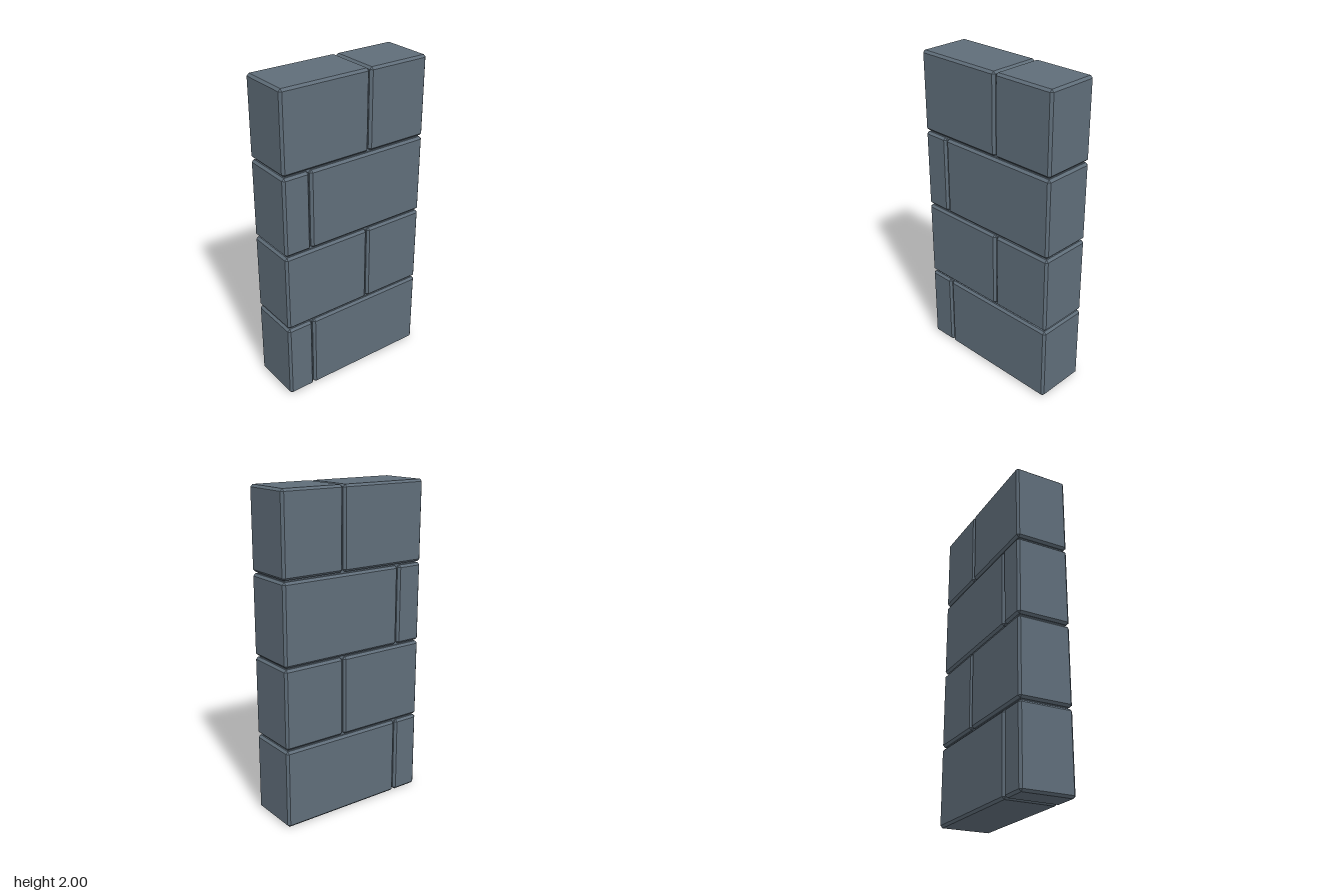
import * as THREE from 'three';
import { ConvexGeometry } from 'three/addons/geometries/ConvexGeometry.js';

const HALF_WIDTH = 0.497, HALF_DEPTH = 0.168, BEVEL = 0.014;
const BRICK_HEIGHT = 0.493, ROW_STEP = 0.5023;

// Box with all twelve edges chamfered: each corner becomes three points
function chamferedBox(w, h, d, c) {
  const points = [];
  for (const sx of [-1, 1]) for (const sy of [-1, 1]) for (const sz of [-1, 1]) {
    const x = w / 2, y = h / 2, z = d / 2;
    points.push(
      new THREE.Vector3(sx * x, sy * (y - c), sz * (z - c)),
      new THREE.Vector3(sx * (x - c), sy * y, sz * (z - c)),
      new THREE.Vector3(sx * (x - c), sy * (y - c), sz * z)
    );
  }
  return new ConvexGeometry(points);
}

export function createModel() {
  const group = new THREE.Group();
  group.name = 'brickWall';
  const stone = new THREE.MeshStandardMaterial({ color: 0x5f6d79 });
  stone.name = 'slate stone';

  // Four courses with alternating joints, two bricks in each
  const joints = [[-0.323, -0.317], [0.086, 0.092]];
  for (let row = 0; row < 4; row++) {
    const [jointStart, jointEnd] = joints[row % 2];
    for (const [x0, x1] of [[-HALF_WIDTH, jointStart], [jointEnd, HALF_WIDTH]]) {
      const brick = new THREE.Mesh(chamferedBox(x1 - x0, BRICK_HEIGHT, HALF_DEPTH * 2, BEVEL), stone);
      brick.name = 'brick';
      brick.position.set((x0 + x1) / 2, row * ROW_STEP + BRICK_HEIGHT / 2, 0);
      group.add(brick);
    }
  }

  // Recessed core closing the joints
  const core = new THREE.Mesh(new THREE.BoxGeometry(0.95, 1.956, 0.29), stone);
  core.name = 'mortarCore';
  core.position.y = 1;
  group.add(core);

  return group;
}
